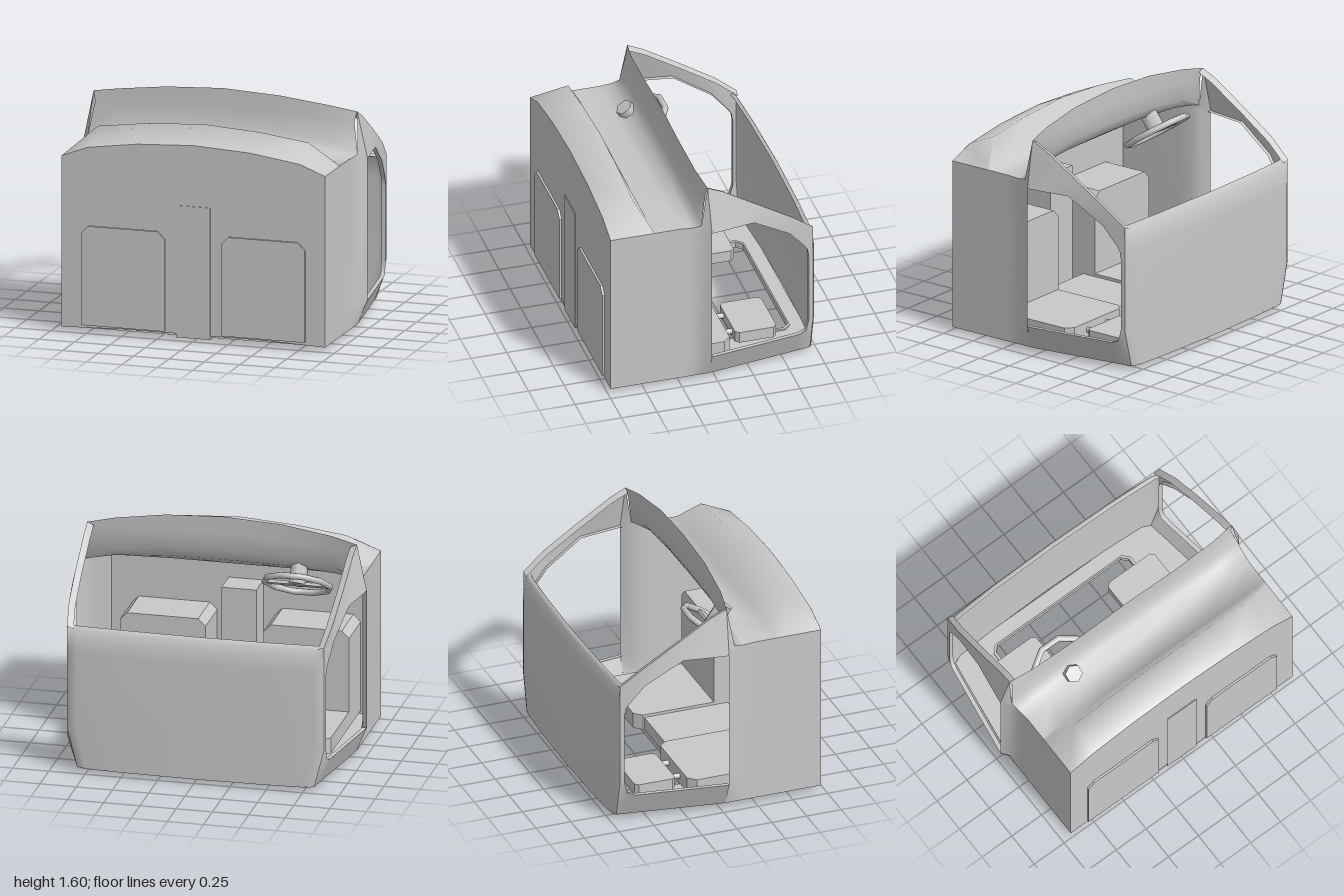
import * as THREE from 'three';

export function createModel() {
  const root = new THREE.Group();
  const grey = new THREE.MeshStandardMaterial({ color: 0xc8c8c8, side: THREE.DoubleSide });
  grey.name = 'plain grey';

  function add(name, geo, x = 0, y = 0, z = 0) {
    const m = new THREE.Mesh(geo, grey);
    m.name = name;
    m.position.set(x, y, z);
    root.add(m);
    return m;
  }

  // smooth sheet from rows of [x, y, z] points
  function sheet(name, rows) {
    const n = rows[0].length, idx = [];
    for (let i = 0; i < rows.length - 1; i++) {
      for (let j = 0; j < n - 1; j++) {
        const a = i * n + j, d = a + n;
        idx.push(a, a + 1, d + 1, a, d + 1, d);
      }
    }
    const g = new THREE.BufferGeometry();
    g.setAttribute('position', new THREE.Float32BufferAttribute(rows.flat(2), 3));
    g.setIndex(idx);
    g.computeVertexNormals();
    return add(name, g);
  }
  function pairSheets(name, rows) {
    sheet('left' + name, rows);
    sheet('right' + name, rows.map(r => r.map(([x, y, z]) => [-x, y, z]).reverse()));
  }
  const poly = pts => new THREE.Shape(pts.map(p => new THREE.Vector2(...p)));
  const mirrored = half => [...half, ...half.map(([x, y]) => [-x, y]).reverse()];
  // rectangle with cut corners, bottom corners optional
  function chamfer(x0, x1, y0, y1, c, cb = c) {
    return [[x0 + cb, y0], [x1 - cb, y0], [x1, y0 + cb], [x1, y1 - c],
      [x1 - c, y1], [x0 + c, y1], [x0, y1 - c], [x0, y0 + cb]];
  }
  const extrude = (shape, depth) => new THREE.ExtrudeGeometry(shape, { depth, bevelEnabled: false });

  // nose panel: [edge x, four heights and four depths from centre to edge]
  const noseRows = [
    [0.93, [1.35, 1.33, 1.28, 1.21], [0.73, 0.73, 0.73, 0.73]],
    [0.93, [1.45, 1.425, 1.38, 1.21], [0.52, 0.52, 0.52, 0.44]],
    [0.93, [1.21, 1.21, 1.21, 1.21], [0.42, 0.42, 0.42, 0.42]],
    [0.93, [1.215, 1.215, 1.21, 1.21], [0.25, 0.25, 0.25, 0.25]],
    [0.94, [1.27, 1.265, 1.24, 1.21], [0.16, 0.16, 0.16, 0.16]],
    [0.95, [1.35, 1.34, 1.3, 1.22], [0.115, 0.115, 0.11, 0.1]],
    [0.915, [1.48, 1.46, 1.44, 1.43], [0.105, 0.105, 0.09, 0.065]],
    [0.93, [1.6, 1.58, 1.535, 1.5], [0.1, 0.1, 0.08, 0.05]],
  ];
  const cols = [0, 0.43, 0.8, 1];
  sheet('nosePanel', noseRows.map(([w, ys, zs]) => {
    const half = cols.map((c, i) => [c * w, ys[i], zs[i]]);
    return [...half.slice(1).reverse().map(([x, y, z]) => [-x, y, z]), ...half];
  }));

  // flat wall
  add('flatWall', new THREE.ShapeGeometry(poly(mirrored(
    [[0.5, 0.045], [0.93, 0.03], [0.93, 1.21], [0.75, 1.28], [0.4, 1.33], [0.02, 1.35]]))), 0, 0, 0.73);

  // solid side quarters
  const quarter = [[0.73, 0.93, 1.21, 0.93], [0.25, 0.93, 1.21, 0.93], [0.16, 0.94, 1.21, 0.94],
    [0.1, 0.955, 1.22, 0.95], [0.04, 1.0, 1.5, 0.93]];
  pairSheets('SideQuarter', [0, 1, 2, 3].map(r => quarter.map(([z, x, top, xt]) =>
    [[0.93, 0.03, z], [x, 0.2, z], [x, 1.18, z], [xt, top, z + (r === 3 && top > 1.3 ? 0.01 : 0)]][r])));

  // side window frames, leaning in towards the far end
  const sideX = (z, y) => 1 + Math.min(0, z - 0.03) * 0.155
    - (y < 0.2 ? (0.2 - y) * 0.41 : 0) - (y > 1.18 ? (y - 1.18) * 0.22 : 0);
  const outer = [[0.04, 0.03], [-0.3, 0.03], [-0.6, 0.03], [-0.7, 0.03], [-0.7, 0.3], [-0.7, 0.8],
    [-0.7, 0.94], [-0.7, 1.03], [-0.55, 1.145], [-0.32, 1.29], [-0.06, 1.45], [0.05, 1.5]];
  const inner = [[0.04, 0.2], [-0.3, 0.2], [-0.6, 0.2], [-0.65, 0.22], [-0.67, 0.3], [-0.67, 0.8],
    [-0.66, 0.86], [-0.64, 0.89], [-0.53, 1.02], [-0.27, 1.18], [-0.1, 1.18], [0.04, 1.18]];
  const place = (pts, dx = 0, dy = 0) => pts.map(([z, y]) => [sideX(z, y) + dx, y + dy, z]);
  pairSheets('SideFrame', [place(outer), place(inner)]);
  pairSheets('WindowJamb', [place(inner), place(inner, -0.03)]);
  pairSheets('PillarReturn', [place(outer.slice(7), -0.045, -0.02), place(outer.slice(7))]);

  // far end panel with a rounded upper edge
  const endCols = [[1, -0.7], [0.97, -0.715], [0.92, -0.727], [0.56, -0.742], [0, -0.75]];
  const endLoop = [...endCols, ...endCols.slice(0, -1).reverse().map(([f, z]) => [-f, z])];
  const endRows = [[0.03, 0], [0.3, 0], [0.85, 0], [0.94, 0.012], [1.0, 0.03], [1.03, 0.05], [1.01, 0.065]];
  sheet('endPanel', endRows.map(([y, dz]) => endLoop.map(([f, z]) =>
    [f * sideX(-0.7, y), y, z + dz * (Math.abs(f) === 1 ? 0 : 1)])));

  // underside with a window hole and its raised frame
  const flat = (g) => g.rotateX(Math.PI / 2);
  const under = poly(mirrored([[0.3, 0.73], [0.93, 0.73], [0.93, 0.04], [0.82, -0.7], [0.76, -0.727], [0.46, -0.742]]));
  const hole = chamfer(-0.555, 0.555, -0.635, -0.085, 0.04);
  under.holes.push(poly(hole));
  add('underside', flat(new THREE.ShapeGeometry(under)), 0, 0.035);
  const ring = poly(chamfer(-0.575, 0.575, -0.645, -0.075, 0.045));
  ring.holes.push(poly(hole));
  add('windowSurround', flat(extrude(ring, 0.045)), 0, 0.045);

  // seats
  for (const s of [-1, 1]) {
    const cx = s * 0.495;
    add('seatCushion', extrude(poly(chamfer(-0.295, 0.295, 0.055, 0.74, 0.05, 0.001)), 0.345), cx, 0, 0.4);
    add('seatBack', flat(extrude(poly(chamfer(-0.295, 0.295, -0.16, 0.45, 0.05, 0.05)), 0.11)), cx, 0.165);
    add('headrest', flat(extrude(poly(chamfer(-0.195, 0.195, -0.51, -0.22, 0.025)), 0.08)), cx, 0.15);
    for (const p of [-0.1, 0.1])
      add('headrestPost', new THREE.CylinderGeometry(0.02, 0.02, 0.1, 8).rotateX(Math.PI / 2), cx + p, 0.11, -0.19);
  }

  // middle seat back and tunnel
  add('middleSeatBack', new THREE.BoxGeometry(0.4, 0.09, 0.6), 0, 0.1, 0.2);
  add('tunnel', new THREE.BoxGeometry(0.24, 0.91, 0.205), 0, 0.475, 0.6325);

  // steering wheel and column
  const wheel = new THREE.Group();
  wheel.name = 'steeringWheel';
  const rim = new THREE.Mesh(new THREE.TorusGeometry(0.225, 0.022, 8, 10).rotateX(Math.PI / 2), grey);
  rim.name = 'wheelRim';
  const spoke = new THREE.Mesh(new THREE.BoxGeometry(0.42, 0.02, 0.05), grey);
  spoke.name = 'wheelSpoke';
  const column = new THREE.Mesh(new THREE.CylinderGeometry(0.062, 0.062, 0.17, 6), grey);
  column.name = 'steeringColumn';
  column.position.y = 0.08;
  wheel.add(rim, spoke, column);
  wheel.position.set(-0.505, 1.16, 0.11);
  wheel.rotation.x = 0.6;
  root.add(wheel);

  return root;
}
